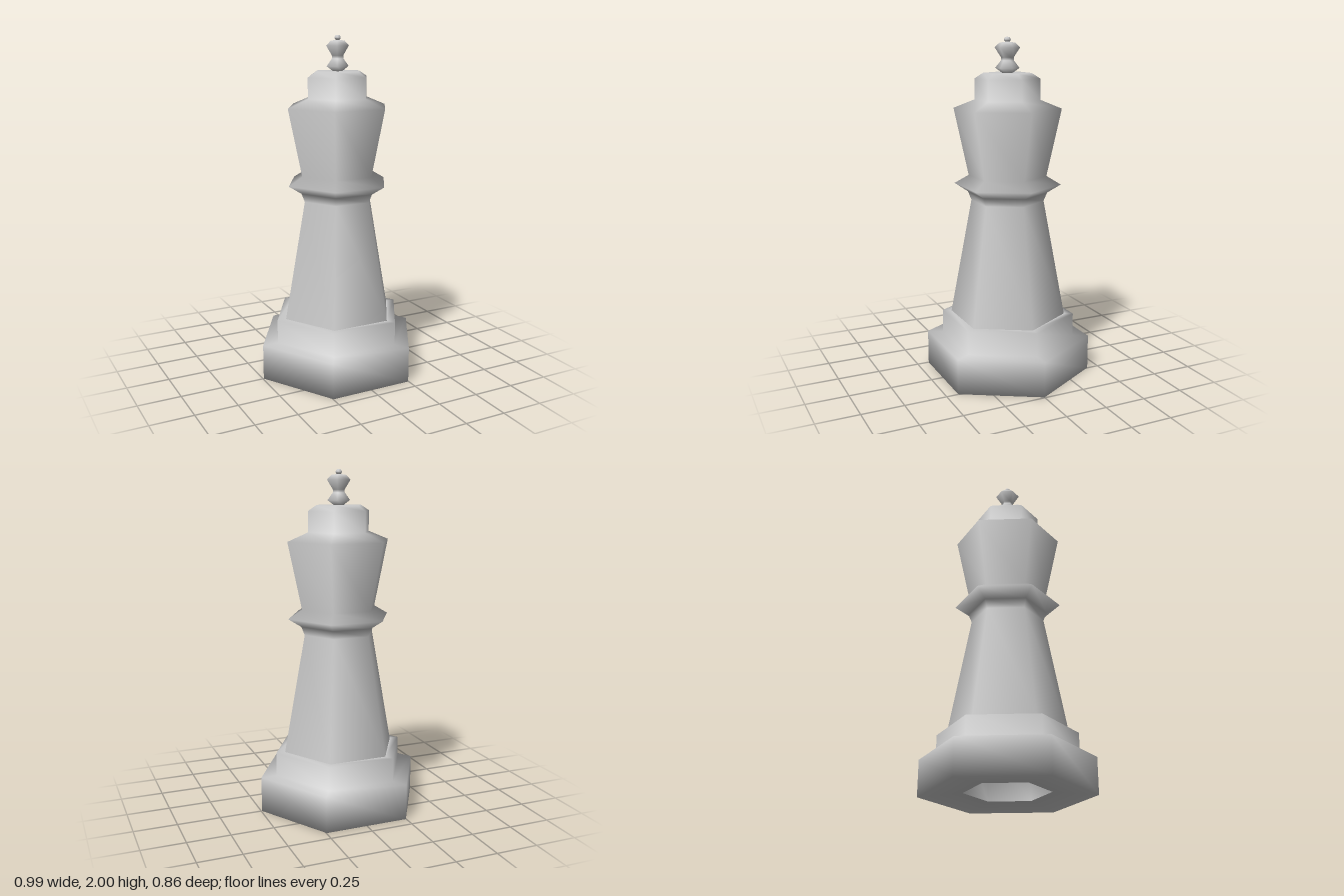
import * as THREE from 'three';

const material = new THREE.MeshStandardMaterial({ color: 0xcccccc, side: THREE.DoubleSide });

// Six-sided turned part from [radius, height] pairs, corners on the x axis
function turned(name, profile) {
  const points = profile.map(([r, y]) => new THREE.Vector2(r, y));
  const mesh = new THREE.Mesh(new THREE.LatheGeometry(points, 6, Math.PI / 2), material);
  mesh.name = name;
  return mesh;
}

export function createModel() {
  const group = new THREE.Group();
  group.name = 'chessKing';

  group.add(
    // Hollow underneath the base
    turned('baseHollow', [[0, 0.34], [0.245, 0.34], [0.245, 0.02]]),
    // Wide foot with a slightly dished underside, and the step above it
    turned('base', [
      [0.245, 0.02], [0.495, 0], [0.495, 0.21], [0.4, 0.21], [0.4, 0.35], [0.345, 0.35],
    ]),
    // Tapered shaft, pointed collar, flared head and crown
    turned('body', [
      [0.345, 0.35], [0.215, 1.05], [0.235, 1.1], [0.315, 1.15], [0.23, 1.2],
      [0.315, 1.595], [0.19, 1.645], [0.19, 1.765], [0.14, 1.797], [0.03, 1.797],
    ]),
    // Waisted finial
    turned('finial', [
      [0.03, 1.797], [0.07, 1.825], [0.037, 1.868], [0.037, 1.885],
      [0.073, 1.94], [0.045, 1.967], [0.01, 1.972],
    ]),
    // Small ball on the tip
    turned('tipBall', [
      [0.008, 1.968], [0.018, 1.978], [0.02, 1.986], [0.014, 1.997], [0, 2],
    ]),
  );
  return group;
}
